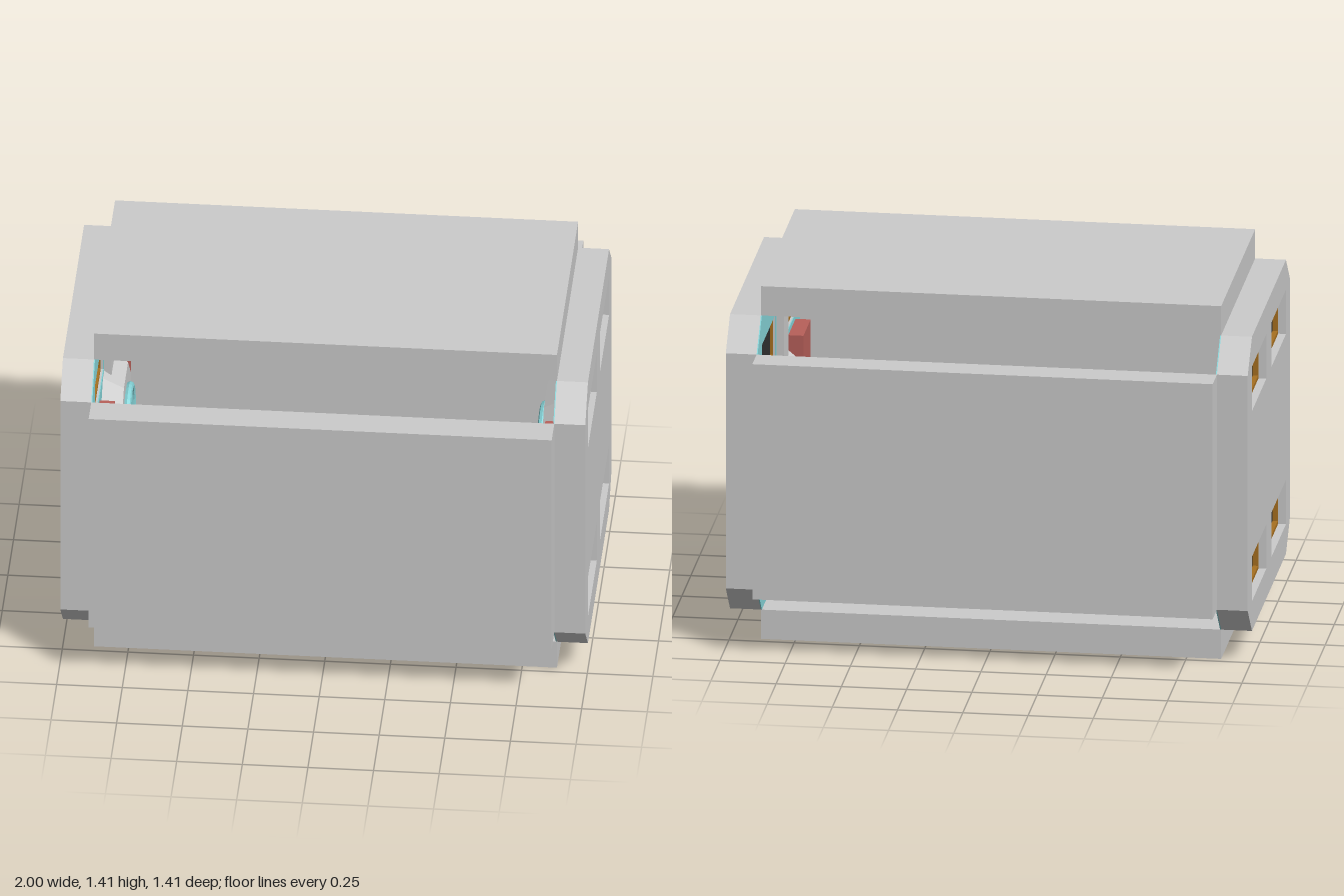
import * as THREE from 'three';

const paint = (color) => new THREE.MeshStandardMaterial({ color, flatShading: true });
const MID = 0.705; // height of the centre axis

export function createModel() {
  const root = new THREE.Group();
  const grey = paint(0xcccccc), teal = paint(0x86d4d8), red = paint(0xb8605a);
  const amber = paint(0xa87020), dark = paint(0x303030), purple = paint(0x3d2f5c);

  const add = (parent, name, geo, mat, x, y, z) => {
    const m = new THREE.Mesh(geo, mat);
    m.name = name;
    m.position.set(x, y, z);
    parent.add(m);
    return m;
  };
  const box = (parent, name, mat, w, h, d, x, y, z) =>
    add(parent, name, new THREE.BoxGeometry(w, h, d), mat, x, y, z);

  // Shapes are drawn with (z, y) around the centre axis, then extruded along x
  const rect = (Type, z, y, w, h) => {
    const s = new Type();
    s.moveTo(z - w / 2, y - h / 2);
    s.lineTo(z + w / 2, y - h / 2);
    s.lineTo(z + w / 2, y + h / 2);
    s.lineTo(z - w / 2, y + h / 2);
    s.closePath();
    return s;
  };
  const extrudeX = (shape, depth) =>
    new THREE.ExtrudeGeometry(shape, { depth, bevelEnabled: false }).rotateY(Math.PI / 2);

  const windows = [];
  for (const z of [-0.272, 0.272]) for (const y of [-0.38, 0.38]) windows.push([z, y]);
  const WIN_W = 0.397, WIN_H = 0.178;

  // Octagonal end plate outline with four window holes
  const capShape = () => {
    const a = 0.588, b = 0.47;
    const s = new THREE.Shape([[a, -b], [a, b], [b, a], [-b, a], [-a, b], [-a, -b], [-b, -a], [b, -a]]
      .map(([z, y]) => new THREE.Vector2(z, y)));
    for (const [z, y] of windows) s.holes.push(rect(THREE.Path, z, y, WIN_W, WIN_H));
    return s;
  };

  const makeEnd = () => {
    const end = new THREE.Group();
    end.name = 'endAssembly';
    add(end, 'endPlate', extrudeX(capShape(), 0.118), grey, 0.882, MID, 0);
    add(end, 'innerLining', extrudeX(capShape(), 0.004), teal, 0.878, MID, 0);

    // Recessed windows: amber frame around a dark pane
    for (const [z, y] of windows) {
      const frame = rect(THREE.Shape, z, y, WIN_W, WIN_H);
      frame.holes.push(rect(THREE.Path, z, y, WIN_W - 0.03, WIN_H - 0.03));
      add(end, 'windowFrame', extrudeX(frame, 0.08), amber, 0.89, MID, 0);
      box(end, 'windowPane', dark, 0.05, WIN_H - 0.03, WIN_W - 0.03, 0.925, MID + y, z);
    }

    // Inner machinery between the windows
    box(end, 'rib', grey, 0.03, 0.92, 0.12, 0.865, MID, 0);
    for (const s of [-1, 1]) box(end, 'sidePanel', red, 0.06, 0.54, 0.2, 0.85, MID, s * 0.36);
    const hub = new THREE.CylinderGeometry(0.3, 0.24, 0.08, 8).rotateX(0)
      .rotateY(Math.PI / 8).rotateZ(-Math.PI / 2);
    add(end, 'hub', hub, grey, 0.84, MID, 0);
    const disc = new THREE.CylinderGeometry(0.15, 0.15, 0.02, 32).rotateZ(Math.PI / 2);
    add(end, 'hubDisc', disc, teal, 0.795, MID, 0);
    const ring = new THREE.TorusGeometry(0.15, 0.015, 8, 32).rotateY(Math.PI / 2);
    add(end, 'hubRing', ring, teal, 0.79, MID, 0);

    // Small control with two buttons
    box(end, 'control', purple, 0.025, 0.13, 0.05, 0.81, 0.91, -0.385);
    for (const dy of [-0.03, 0.03]) {
      const button = new THREE.CylinderGeometry(0.014, 0.014, 0.012, 12).rotateZ(Math.PI / 2);
      add(end, 'button', button, purple, 0.793, 0.91 + dy, -0.385);
    }
    return end;
  };

  // Two ends, the second turned half round
  for (const angle of [0, Math.PI]) {
    const end = makeEnd();
    end.rotation.y = angle;
    root.add(end);
  }

  // Four long slabs around the body
  const T = 0.117, OFF = 0.6465;
  for (const s of [-1, 1]) {
    box(root, s > 0 ? 'topSlab' : 'bottomSlab', grey, 1.764, T, 0.94, 0, MID + s * OFF, 0);
    box(root, s > 0 ? 'frontSlab' : 'backSlab', grey, 1.764, 0.94, T, 0, MID, s * OFF);
  }
  return root;
}
